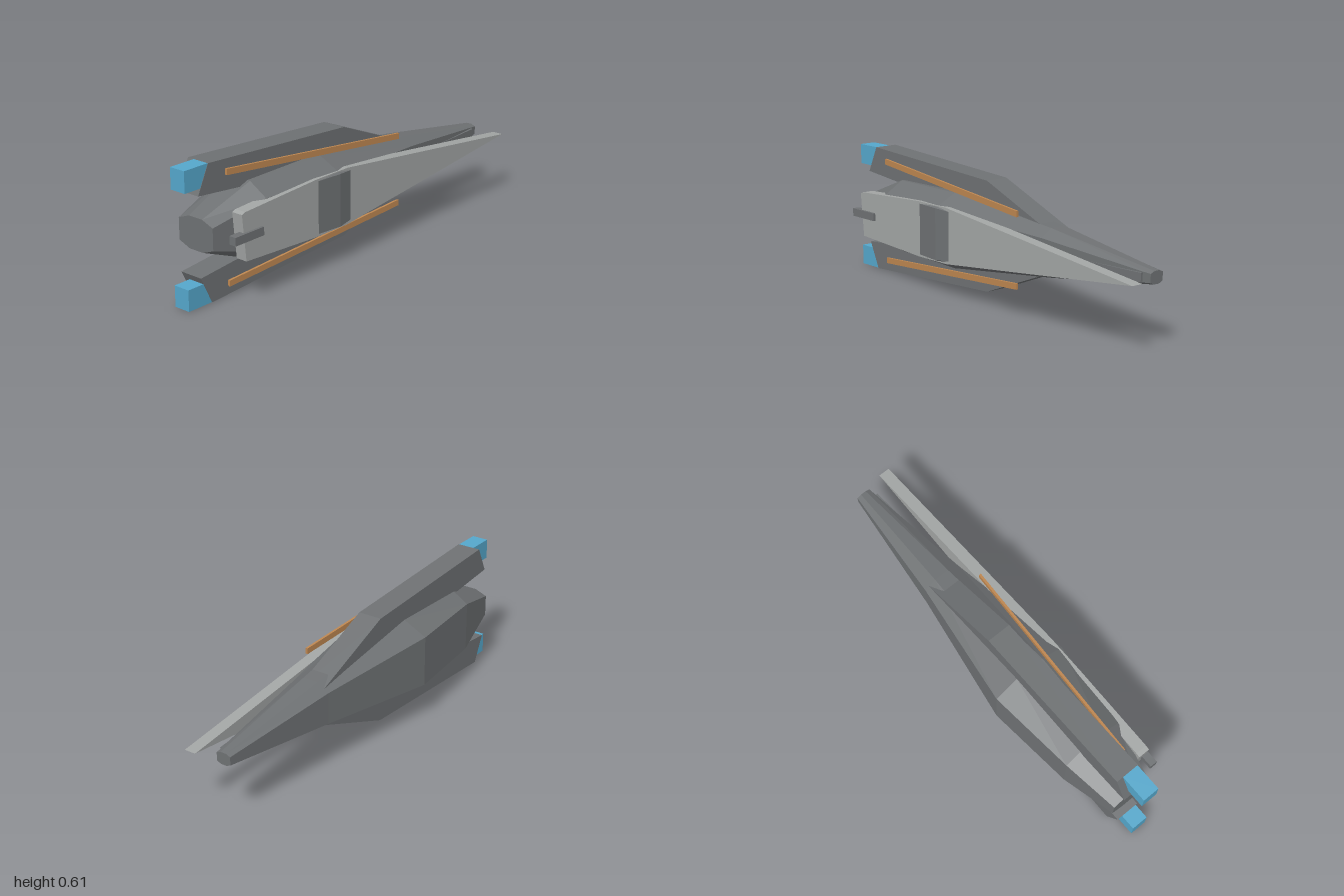
import * as THREE from 'three';

const MID = 0.3025; // height of the long axis

const mat = (name, color) => {
  const m = new THREE.MeshStandardMaterial({ color, flatShading: true });
  m.name = name;
  return m;
};

// Octagonal hull lofted along x from [x, half height, half depth]
function loftHull(stations) {
  const rings = stations.map(([x, h, d]) => [
    [0.39, 1], [1, 0.68], [1, -0.68], [0.39, -1],
    [-0.39, -1], [-1, -0.68], [-1, 0.68], [-0.39, 1],
  ].map(([z, y]) => [x, MID + y * h, z * d]));
  const pos = [];
  const tri = (...pts) => pts.forEach(p => pos.push(...p));
  for (let i = 0; i < rings.length - 1; i++) {
    for (let j = 0; j < 8; j++) {
      const k = (j + 1) % 8;
      const a = rings[i][j], b = rings[i][k], c = rings[i + 1][k], d = rings[i + 1][j];
      tri(a, b, c);
      tri(a, c, d);
    }
  }
  const tail = rings[0], nose = rings[rings.length - 1];
  for (let j = 1; j < 7; j++) {
    tri(nose[0], nose[j], nose[j + 1]);
    tri(tail[0], tail[j + 1], tail[j]);
  }
  const g = new THREE.BufferGeometry();
  g.setAttribute('position', new THREE.Float32BufferAttribute(pos, 3));
  g.computeVertexNormals();
  return g;
}

// Side outline extruded between two depths
function slab(points, z0, z1) {
  const shape = new THREE.Shape(points.map(([x, y]) => new THREE.Vector2(x, y)));
  const g = new THREE.ExtrudeGeometry(shape, { depth: z1 - z0, bevelEnabled: false });
  return g.translate(0, 0, z0);
}

// Box sheared so its end centres lie at a and b, with upright ends
function shearedBar(a, b, height, depth) {
  const g = new THREE.BoxGeometry(1, height, depth);
  const p = g.attributes.position;
  for (let i = 0; i < p.count; i++) {
    const t = p.getX(i) + 0.5;
    p.setXYZ(i,
      a[0] + (b[0] - a[0]) * t,
      p.getY(i) + a[1] + (b[1] - a[1]) * t,
      p.getZ(i) + a[2] + (b[2] - a[2]) * t);
  }
  g.computeVertexNormals();
  return g;
}

export function createModel() {
  const group = new THREE.Group();
  const dark = mat('hullGrey', 0x6e7173);
  const light = mat('plateGrey', 0xa2a5a4);
  const copper = mat('copper', 0xbd8650);
  const blue = mat('engineBlue', 0x55a7cb);
  const add = (name, geometry, material) => {
    const m = new THREE.Mesh(geometry, material);
    m.name = name;
    group.add(m);
  };

  add('hull', loftHull([
    [-0.91, 0.072, 0.098],
    [-0.65, 0.172, 0.148],
    [-0.23, 0.177, 0.187],
    [0.38, 0.109, 0.095],
    [0.96, 0.028, 0.035],
  ]), dark);

  // Long pointed plate along the front side
  const upper = [[-0.82, 0.1], [-0.8, 0.107], [-0.37, 0.13], [-0.17, 0.13], [0.3, 0.078]];
  add('frontPlate', slab([
    ...upper.map(([x, y]) => [x, MID + y]),
    [0.995, MID],
    ...upper.slice(1).reverse().map(([x, y]) => [x, MID - y]),
  ], 0.12, 0.175), light);

  // Upper and lower nacelles with engines and copper rails
  for (const s of [1, -1]) {
    const side = s > 0 ? 'upper' : 'lower';
    const y = v => MID + s * (v - MID);
    add(side + 'Nacelle', slab([
      [-0.87, 0.605], [-0.04, 0.558], [0.45, 0.363], [0.3, 0.36], [-0.93, 0.48],
    ].map(([x, v]) => [x, y(v)]), -0.073, 0.042), dark);

    add(side + 'Engine', new THREE.BoxGeometry(0.13, 0.095, 0.08)
      .translate(-0.935, y(0.557), 0), blue);

    add(side + 'Rail', shearedBar(
      [-0.78, y(0.547), 0.051], [0.25, y(0.463), 0.117], 0.027, 0.011), copper);
  }

  // Small guns at the tail of the plate and beneath the nose
  add('tailGun', new THREE.BoxGeometry(0.165, 0.037, 0.035)
    .translate(-0.788, MID + 0.001, 0.169), dark);
  add('noseGun', shearedBar([0.38, MID, 0.081], [0.92, MID, 0.042], 0.037, 0.016), dark);

  return group;
}
